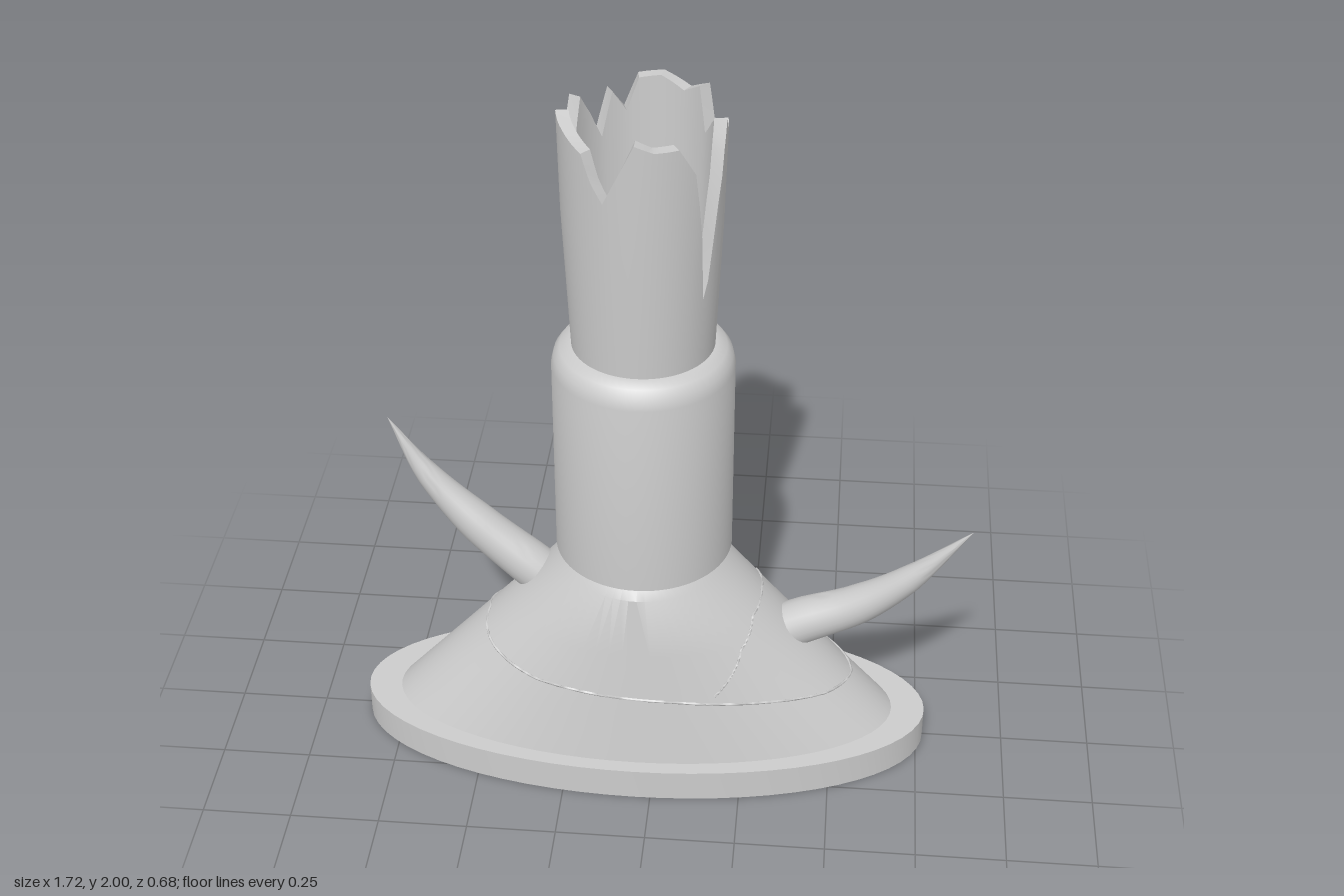
import * as THREE from 'three';
import { toCreasedNormals } from 'three/addons/utils/BufferGeometryUtils.js';

const AXIS_X = -0.045;
const SIDES = 64;
const material = new THREE.MeshStandardMaterial({ color: 0xcccccc, side: THREE.DoubleSide });
const lerp = THREE.MathUtils.lerp;

function addMesh(parent, name, geometry, crease = 0.5) {
  const mesh = new THREE.Mesh(toCreasedNormals(geometry, crease), material);
  mesh.name = name;
  parent.add(mesh);
  return mesh;
}

// Lathe whose profile is [x radius, y, z radius]
function ovalLathe(profile) {
  const geo = new THREE.LatheGeometry(profile.map(([r, y]) => new THREE.Vector2(r, y)), SIDES);
  const pos = geo.attributes.position;
  for (let i = 0; i < pos.count; i++) {
    const [rx, , rz = rx] = profile[i % profile.length];
    pos.setZ(i, rx ? pos.getZ(i) * rz / rx : 0);
  }
  return geo;
}

// Piecewise linear lookup in a list of [key, value]
function lookup(list, key) {
  const i = Math.max(1, list.findIndex(([k]) => k >= key));
  const [a, b] = [list[i - 1], list[i]];
  return lerp(a[1], b[1], (key - a[0]) / (b[0] - a[0]));
}

// Point on the sloping oval skirt; degrees run from +x towards +z
function skirtPoint(deg, y) {
  const a = THREE.MathUtils.degToRad(deg);
  const t = (y - 0.095) / 0.525;
  return new THREE.Vector3(lerp(0.72, 0.228, t) * Math.cos(a), y, lerp(0.3, 0.23, t) * Math.sin(a));
}

// Thin seam on the skirt, given for one half and mirrored to the other
function seam(half) {
  const last = half[half.length - 1][0];
  const points = [];
  for (let d = -last; d <= last; d += 2.5) points.push(skirtPoint(d, lookup(half, Math.abs(d))));
  return new THREE.TubeGeometry(new THREE.CatmullRomCurve3(points), 160, 0.004, 5);
}

// Curved spike: a tube whose rings shrink along the path
function spike(path, radii) {
  const curve = new THREE.CatmullRomCurve3(path.map(p => new THREE.Vector3(...p)));
  const rings = 20, around = 24;
  const geo = new THREE.TubeGeometry(curve, rings, 1, around);
  const pos = geo.attributes.position;
  const v = new THREE.Vector3();
  for (let i = 0; i < pos.count; i++) {
    const t = Math.floor(i / (around + 1)) / rings;
    const centre = curve.getPointAt(t);
    v.fromBufferAttribute(pos, i).sub(centre).multiplyScalar(lookup(radii, t)).add(centre);
    pos.setXYZ(i, v.x, v.y, v.z);
  }
  return geo;
}

// Broken tube: wall cross-sections whose height follows the jagged edge
function brokenTube(edge, bottom) {
  const radius = y => 0.19 + 0.025 * Math.min(1, (y - bottom) / 0.53);
  const wall = 0.033;
  const angles = [];
  for (let i = 1; i < edge.length; i++) {
    const [a, b] = [edge[i - 1][0], edge[i][0]];
    const n = Math.ceil((b - a) / 5);
    for (let k = 0; k < n; k++) angles.push(lerp(a, b, k / n));
  }
  angles.push(360);
  const vertices = [], index = [];
  angles.forEach((deg, i) => {
    const top = lookup(edge, deg), a = THREE.MathUtils.degToRad(deg);
    const mid = lerp(bottom, top, 0.6);
    const section = [
      [radius(bottom), bottom], [radius(mid), mid], [radius(top), top],
      [radius(top) - wall, top], [radius(bottom) - wall + 0.015, bottom],
    ];
    for (const [r, y] of section) vertices.push(r * Math.cos(a), y, r * Math.sin(a));
    if (i === 0) return;
    for (let k = 0; k < 4; k++) {
      const p = (i - 1) * 5 + k, q = i * 5 + k;
      index.push(p, p + 1, q, q, p + 1, q + 1);
    }
  });
  const geo = new THREE.BufferGeometry();
  geo.setAttribute('position', new THREE.Float32BufferAttribute(vertices, 3));
  geo.setIndex(index);
  return geo;
}

export function createModel() {
  const model = new THREE.Group();
  model.name = 'brokenPedestal';
  const column = new THREE.Group();
  column.name = 'column';
  column.position.x = AXIS_X;
  model.add(column);

  // Oval foot: an open rim with a flange that meets the skirt
  addMesh(column, 'footRim', ovalLathe([[0.815, 0, 0.34], [0.815, 0.095, 0.34], [0.72, 0.095, 0.3]]));

  // Hollow skirt, oval at the foot and round at the neck
  addMesh(column, 'skirt', ovalLathe([
    [0.72, 0.095, 0.3], [0.556, 0.27, 0.277], [0.392, 0.445, 0.253], [0.228, 0.62, 0.23], [0.2, 0.65, 0.208],
  ]));

  // Seams running over the skirt
  addMesh(column, 'lowerSeam', seam([
    [0, 0.225], [25, 0.24], [50, 0.27], [80, 0.3], [124, 0.32], [180, 0.39],
  ]), 1.5);
  addMesh(column, 'upperSeam', seam([[0, 0.51], [25, 0.495], [45, 0.43], [65, 0.31]]), 1.5);

  // Round collar with a bevelled shoulder
  addMesh(column, 'collar', ovalLathe([
    [0, 0.645], [0.205, 0.645], [0.245, 0.67], [0.245, 1.255], [0.238, 1.285], [0.222, 1.307], [0.195, 1.32], [0, 1.32],
  ]));

  // Jagged tube, edge given as [degrees, height]
  addMesh(column, 'brokenTube', brokenTube([
    [0, 1.95], [8, 1.99], [14, 1.92], [22, 1.78], [30, 1.57], [35, 1.52], [39, 1.7], [47, 1.9],
    [60, 1.98], [77, 1.98], [90, 2], [99, 1.93], [112, 1.83], [121, 1.88], [129, 1.95],
    [150, 1.98], [170, 2], [184, 1.95], [197, 1.88], [206, 1.98], [218, 1.92], [230, 1.84],
    [240, 1.96], [252, 1.9], [262, 1.99], [280, 2], [300, 1.97], [317, 2], [325, 1.88],
    [338, 1.93], [350, 1.96], [360, 1.95],
  ], 1.31), 0.45);

  // Two curved spikes growing out of the skirt
  addMesh(model, 'rightSpike', spike(
    [[-0.31, 0.475, -0.03], [-0.375, 0.53, -0.033], [-0.53, 0.665, -0.045], [-0.665, 0.82, -0.055], [-0.76, 0.99, -0.057]],
    [[0, 0.067], [0.13, 0.066], [0.42, 0.056], [0.7, 0.034], [1, 0.0005]],
  ), 0.8);
  addMesh(model, 'leftSpike', spike(
    [[0.33, 0.36, 0], [0.4, 0.4, 0], [0.555, 0.485, 0.02], [0.69, 0.605, 0.05], [0.857, 0.81, 0.09]],
    [[0, 0.067], [0.13, 0.066], [0.4, 0.055], [0.65, 0.037], [1, 0.0005]],
  ), 0.8);

  return model;
}
